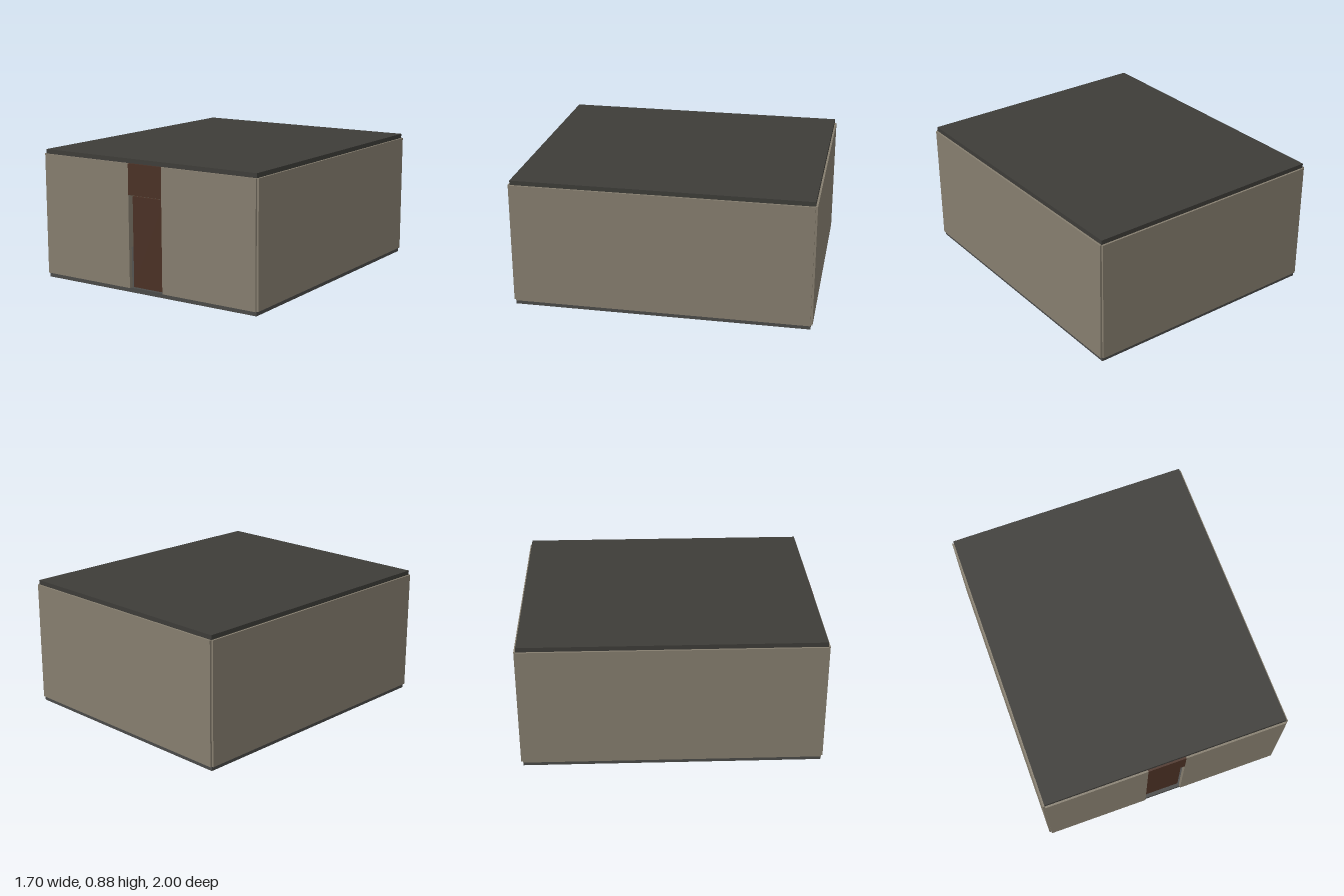
import * as THREE from 'three';

const mat = (color) => new THREE.MeshStandardMaterial({ color });

export function createModel() {
  const model = new THREE.Group();
  model.name = 'room';

  const stone = mat(0x857d6e);
  const slab = mat(0x4a4a48);
  const roofing = mat(0x3d3c38);
  const wood = mat(0x4a3024);
  const brass = mat(0xc09a50);

  // Box given by its lower and upper limit on each axis
  function box(name, material, [x0, x1], [y0, y1], [z0, z1], parent = model) {
    const mesh = new THREE.Mesh(new THREE.BoxGeometry(x1 - x0, y1 - y0, z1 - z0), material);
    mesh.name = name;
    mesh.position.set((x0 + x1) / 2, (y0 + y1) / 2, (z0 + z1) / 2);
    parent.add(mesh);
    return mesh;
  }

  const W = 0.837, D = 0.987; // half width and depth to the wall centres
  const T = 0.013; // half wall thickness
  const floorTop = 0.03, wallTop = 0.855, roofTop = 0.885;
  const doorHalf = 0.132, lintelBottom = 0.65;
  const wallY = [floorTop, wallTop];
  const frontZ = [D - T, D + T];

  // Floor and flat roof
  box('floor', slab, [-W, W], [0, floorTop], [-D, D]);
  box('roof', roofing, [-W, W], [wallTop, roofTop], [-D, D]);

  // Walls centred on the floor edges, leaving small notches at the corners
  box('backWall', stone, [-W, W], wallY, [-D - T, -D + T]);
  box('rightWall', stone, [-W - T, -W + T], wallY, [-D, D]);
  box('leftWall', stone, [W - T, W + T], wallY, [-D, D]);
  box('frontWallRight', stone, [-W, -doorHalf], wallY, frontZ);
  box('frontWallLeft', stone, [doorHalf, W], wallY, frontZ);

  // Doorway: flush lintel panel and a recessed door with a narrow gap
  box('lintel', wood, [-doorHalf, doorHalf], [lintelBottom, wallTop], frontZ);
  box('door', wood, [-0.126, 0.126], [floorTop, 0.635], [0.945, 0.963]);

  // Hanging lamp in the middle of the room
  const lamp = new THREE.Group();
  lamp.name = 'lamp';
  model.add(lamp);
  box('lampCord', roofing, [-0.004, 0.004], [0.66, wallTop], [-0.004, 0.004], lamp);
  box('lampShade', brass, [-0.025, 0.025], [0.61, 0.66], [-0.025, 0.025], lamp);

  // Low cabinet on legs against the back wall
  const cabinet = new THREE.Group();
  cabinet.name = 'cabinet';
  model.add(cabinet);
  box('cabinetBody', wood, [-0.45, -0.129], [0.09, 0.24], [-0.97, -0.8], cabinet);
  for (const x of [-0.43, -0.17])
    for (const z of [-0.95, -0.84])
      box('cabinetLeg', wood, [x, x + 0.02], [floorTop, 0.09], [z, z + 0.02], cabinet);

  return model;
}
